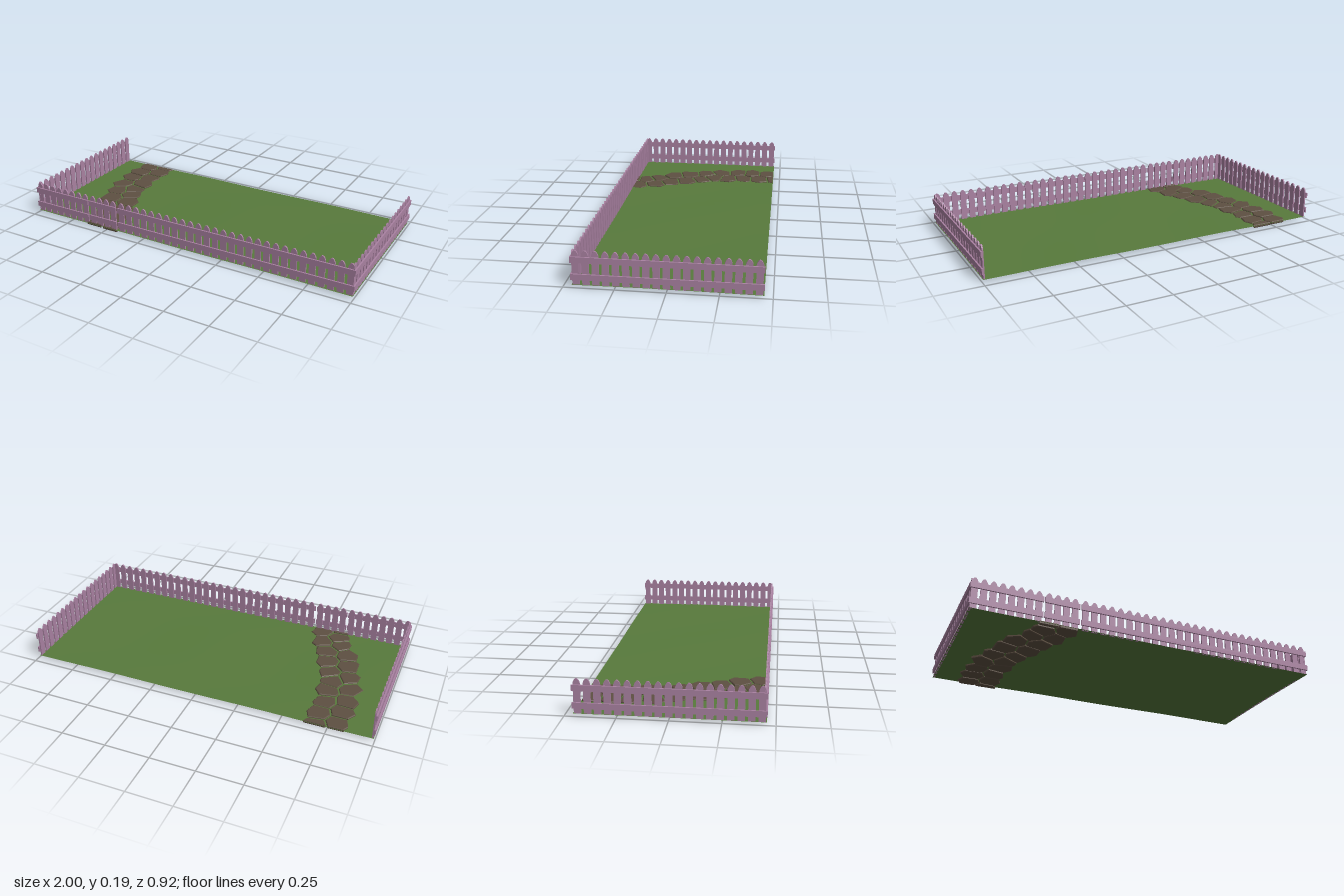
import * as THREE from 'three';

const fenceMat = new THREE.MeshStandardMaterial({ color: 0xaa82a2 });
const lawnMat = new THREE.MeshStandardMaterial({ color: 0x587a3c, side: THREE.DoubleSide });
const stoneMat = new THREE.MeshStandardMaterial({ color: 0x5e5042, flatShading: true });

let seed = 11;
const rand = () => (seed = (seed * 16807) % 2147483647) / 2147483647;

function mesh(name, geometry, material) {
  const m = new THREE.Mesh(geometry, material);
  m.name = name;
  return m;
}

// Picket: flat board with a rounded-over pointed head
const head = [[0.0172, 0], [0.0172, 0.152], [0.015, 0.16], [0.0105, 0.169], [0.004, 0.176]];
const outline = [...head, ...head.map(([x, y]) => [-x, y]).reverse()];
const picketGeo = new THREE.ExtrudeGeometry(
  new THREE.Shape(outline.map(([x, y]) => new THREE.Vector2(x, y))),
  { depth: 0.008, bevelEnabled: false });

// Fence panel centred on x, with its rails on the outer (+z) side
function fencePanel(name, length, count) {
  const panel = new THREE.Group();
  panel.name = name;
  const pitch = length / count;
  for (let i = 0; i < count; i++) {
    const picket = mesh('picket', picketGeo, fenceMat);
    picket.position.set((i + 0.5) * pitch - length / 2, 0.014, -0.016);
    panel.add(picket);
  }
  for (const y of [0.056, 0.145]) {
    const rail = mesh('rail', new THREE.BoxGeometry(length, 0.031, 0.008), fenceMat);
    rail.position.set(0, y, -0.004);
    panel.add(rail);
  }
  return panel;
}

// Lawn: thin sheet with very gentle undulation
function lawn() {
  const geo = new THREE.PlaneGeometry(1.99, 0.916, 24, 12).rotateX(-Math.PI / 2);
  const p = geo.attributes.position;
  for (let i = 0; i < p.count; i++) {
    p.setY(i, 0.0145 + 0.002 * Math.sin(p.getX(i) * 7 + 1) * Math.cos(p.getZ(i) * 5));
  }
  geo.computeVertexNormals();
  return mesh('lawn', geo, lawnMat);
}

// Keep the part of a polygon where (p - o) . n <= 0
function clip(poly, o, n) {
  const side = p => (p.x - o.x) * n.x + (p.y - o.y) * n.y;
  const out = [];
  poly.forEach((a, i) => {
    const b = poly[(i + 1) % poly.length];
    const da = side(a), db = side(b);
    if (da <= 0) out.push(a);
    if (da * db < 0) out.push(a.clone().lerp(b, da / (da - db)));
  });
  return out;
}

// Stone path: cells between scattered seeds along a curved strip
function stonePath() {
  const path = new THREE.Group();
  path.name = 'stonePath';
  const centre = new THREE.CatmullRomCurve3([
    [-0.73, -0.6], [-0.73, -0.46], [-0.73, -0.2], [-0.705, 0],
    [-0.62, 0.2], [-0.555, 0.34], [-0.52, 0.46], [-0.49, 0.6],
  ].map(([x, z]) => new THREE.Vector3(x, 0, z)));
  const rows = 12, seeds = [];
  for (let r = 0; r < rows; r++) {
    for (let c = -2; c <= 1; c++) {
      const t = (r + 0.5 + (c & 1 ? 0.22 : -0.22)) / rows;
      const p = centre.getPointAt(t);
      const tan = centre.getTangentAt(t);
      const off = (c + 0.5) * 0.112 + (rand() - 0.5) * 0.035;
      const v = new THREE.Vector2(p.x + tan.z * off, p.z - tan.x * off + (rand() - 0.5) * 0.03);
      seeds.push({ v, stone: c === -1 || c === 0 });
    }
  }
  for (const s of seeds) {
    if (!s.stone) continue;
    let poly = [[-0.1, -0.1], [0.1, -0.1], [0.1, 0.1], [-0.1, 0.1]]
      .map(([x, y]) => new THREE.Vector2(s.v.x + x, s.v.y + y));
    for (const other of seeds) {
      if (other === s) continue;
      const n = other.v.clone().sub(s.v).normalize();
      const mid = s.v.clone().add(other.v).multiplyScalar(0.5).addScaledVector(n, -0.0045);
      poly = clip(poly, mid, n);
    }
    for (const sign of [-1, 1]) {
      poly = clip(poly, new THREE.Vector2(0, sign * 0.455), new THREE.Vector2(0, sign));
    }
    if (poly.length < 3 || Math.abs(THREE.ShapeUtils.area(poly)) < 0.0006) continue;
    const shape = new THREE.Shape(poly.map(p => new THREE.Vector2(p.x, -p.y)));
    const geo = new THREE.ExtrudeGeometry(shape, {
      depth: 0.011, bevelThickness: 0.004, bevelSize: 0.004, bevelOffset: -0.004, bevelSegments: 1,
    });
    geo.rotateX(-Math.PI / 2);
    const stone = mesh('stone', geo, stoneMat);
    stone.position.y = 0.004 + rand() * 0.004;
    path.add(stone);
  }
  return path;
}

export function createModel() {
  const model = new THREE.Group();
  model.name = 'fencedGarden';
  model.add(lawn(), stonePath());

  // Front fence, split by the gate where the path leaves
  for (const [name, x0, x1, count] of [
    ['frontFenceRight', -1, -0.618, 8],
    ['gate', -0.612, -0.421, 4],
    ['frontFenceLeft', -0.413, 1, 28],
  ]) {
    const panel = fencePanel(name, x1 - x0, count);
    panel.position.set((x0 + x1) / 2, 0, 0.46);
    model.add(panel);
  }

  // Side fences
  for (const [name, sign] of [['leftFence', 1], ['rightFence', -1]]) {
    const panel = fencePanel(name, 0.92, 19);
    panel.rotation.y = sign * Math.PI / 2;
    panel.position.x = sign;
    model.add(panel);
  }
  return model;
}
